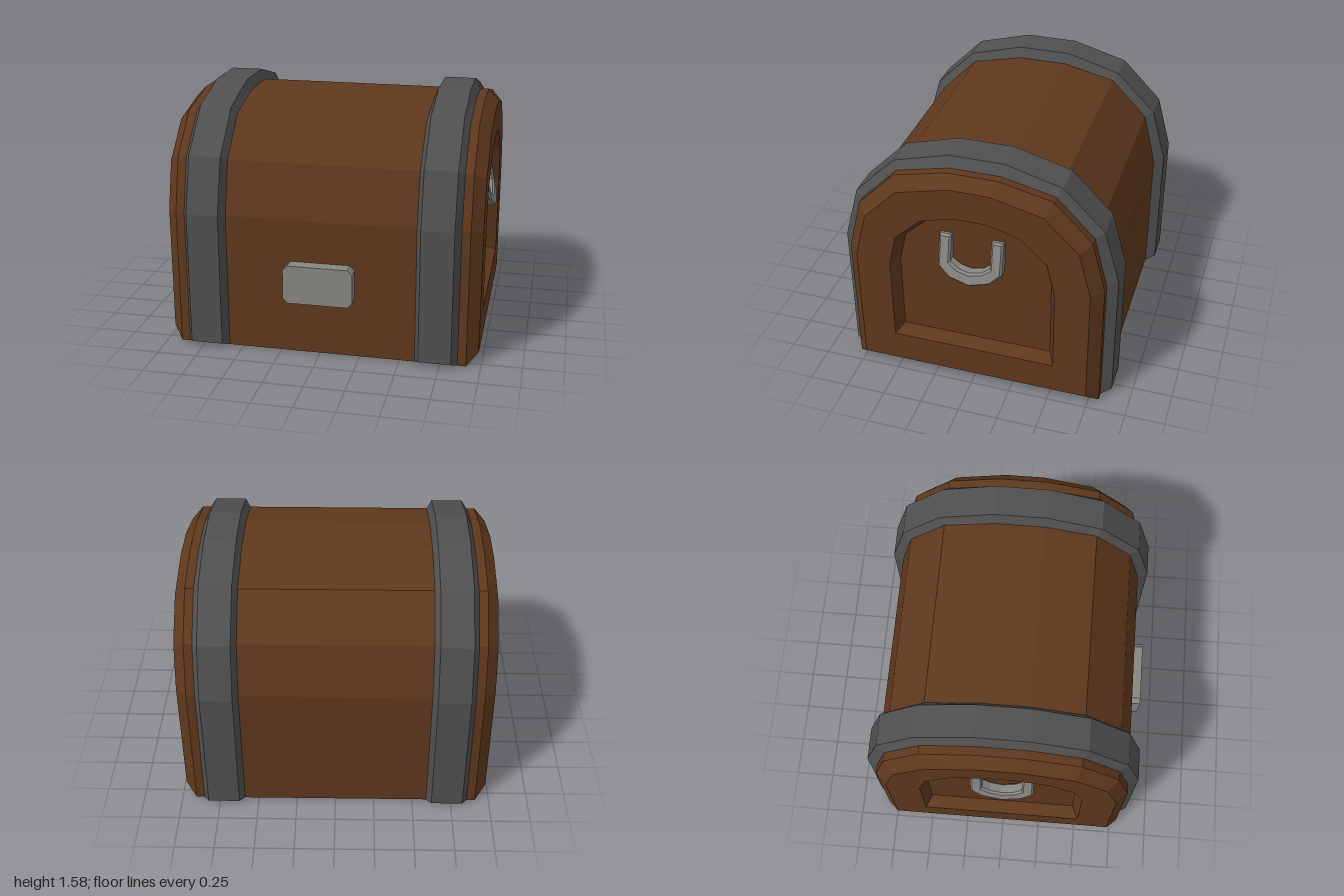
import * as THREE from 'three';

const mat = (color) => new THREE.MeshStandardMaterial({ color, flatShading: true });
const Z0 = -0.008; // the plate at the front shifts the chest slightly back

// Mirrors a half profile of [z, y] points into a full arch, from front bottom over the top to back bottom
const arch = (half) => [...half, ...half.slice().reverse().map(([z, y]) => [-z, y])];

// Skins equal-length rings { x, p } from left to right; closed rings also get a floor and end caps
function loft(rings, closed) {
  const n = rings[0].p.length;
  const pos = rings.flatMap(({ x, p }) => p.flatMap(([z, y]) => [x, y, z + Z0]));
  const idx = [];
  for (let i = 0; i < rings.length - 1; i++) {
    for (let j = 0; j < (closed ? n : n - 1); j++) {
      const k = (j + 1) % n, a = i * n, b = a + n;
      idx.push(a + j, b + j, b + k, a + j, b + k, a + k);
    }
  }
  if (closed) {
    const e = (rings.length - 1) * n;
    for (let j = 1; j < n - 1; j++) idx.push(0, j, j + 1, e, e + j + 1, e + j);
  }
  const g = new THREE.BufferGeometry();
  g.setAttribute('position', new THREE.Float32BufferAttribute(pos, 3));
  g.setIndex(idx);
  const flat = g.toNonIndexed();
  flat.computeVertexNormals();
  return flat;
}

export function createModel() {
  const group = new THREE.Group();
  const wood = mat(0x5f381c), iron = mat(0x505050), steel = mat(0x878683);
  const add = (name, geometry, material) => {
    const m = new THREE.Mesh(geometry, material);
    m.name = name;
    group.add(m);
    return m;
  };

  // Wooden chest: chamfered ends, each with a recessed arched panel
  const full = arch([[0.805, 0], [0.805, 0.865], [0.72, 1.2], [0.485, 1.44], [0.155, 1.516]]);
  const rim = arch([[0.735, 0.07], [0.735, 0.86], [0.66, 1.155], [0.447, 1.368], [0.122, 1.448]]);
  const recess = arch([[0.52, 0.27], [0.52, 0.83], [0.472, 1.037], [0.306, 1.192], [0.1, 1.25]]);
  const panel = arch([[0.48, 0.31], [0.48, 0.825], [0.435, 1.02], [0.282, 1.16], [0.09, 1.207]]);
  const end = [[0.91, full], [0.98, rim], [0.98, recess], [0.9, panel]];
  add('chestBody', loft([
    ...end.slice().reverse().map(([x, p]) => ({ x: -x, p })),
    ...end.map(([x, p]) => ({ x, p })),
  ], true), wood);

  // Iron bands with bevelled edges, open against the wood
  const base = arch([[0.805, 0], [0.805, 0], [0.805, 0.865], [0.72, 1.2], [0.485, 1.44], [0.155, 1.516]]);
  const outer = arch([[0.805, 0], [0.868, 0.03], [0.868, 0.88], [0.772, 1.225], [0.516, 1.483], [0.168, 1.58]]);
  const band = [[0.592, base], [0.622, outer], [0.822, outer], [0.857, base]];
  add('leftBand', loft(band.map(([x, p]) => ({ x, p })), false), iron);
  add('rightBand', loft(band.slice().reverse().map(([x, p]) => ({ x: -x, p })), false), iron);

  // Lock plate with cut corners
  const w = 0.216, y0 = 0.355, y1 = 0.6, c = 0.03;
  const plate = new THREE.Shape([
    [-w + c, y0], [w - c, y0], [w, y0 + c], [w, y1 - c],
    [w - c, y1], [-w + c, y1], [-w, y1 - c], [-w, y0 + c],
  ].map(([x, y]) => new THREE.Vector2(x, y)));
  const plateGeo = new THREE.ExtrudeGeometry(plate, { depth: 0.12, bevelEnabled: false });
  add('lockPlate', plateGeo.translate(0, 0, 0.757), steel);

  // U-shaped handles that lean outwards towards the bottom
  const b = 0.012;
  const u = new THREE.Shape([
    [-0.2, 1.09], [-0.2, 0.885], [-0.13, 0.82], [0, 0.785], [0.13, 0.82], [0.2, 0.885], [0.2, 1.09],
    [0.125, 1.09], [0.125, 0.92], [0.075, 0.885], [0, 0.868], [-0.075, 0.885], [-0.125, 0.92], [-0.125, 1.09],
  ].map(([x, y]) => new THREE.Vector2(x, y)));
  const handle = new THREE.ExtrudeGeometry(u, {
    depth: 0.05, bevelThickness: b, bevelSize: b, bevelOffset: -b, bevelSegments: 1,
  });
  handle.translate(0, 0, -0.05 - b);
  const p = handle.attributes.position;
  for (let i = 0; i < p.count; i++) p.setZ(i, p.getZ(i) + 0.928 + (1.09 - p.getY(i)) * 0.25);
  handle.computeVertexNormals();
  add('leftHandle', handle, steel).rotation.y = Math.PI / 2;
  add('rightHandle', handle, steel).rotation.y = -Math.PI / 2;

  return group;
}
